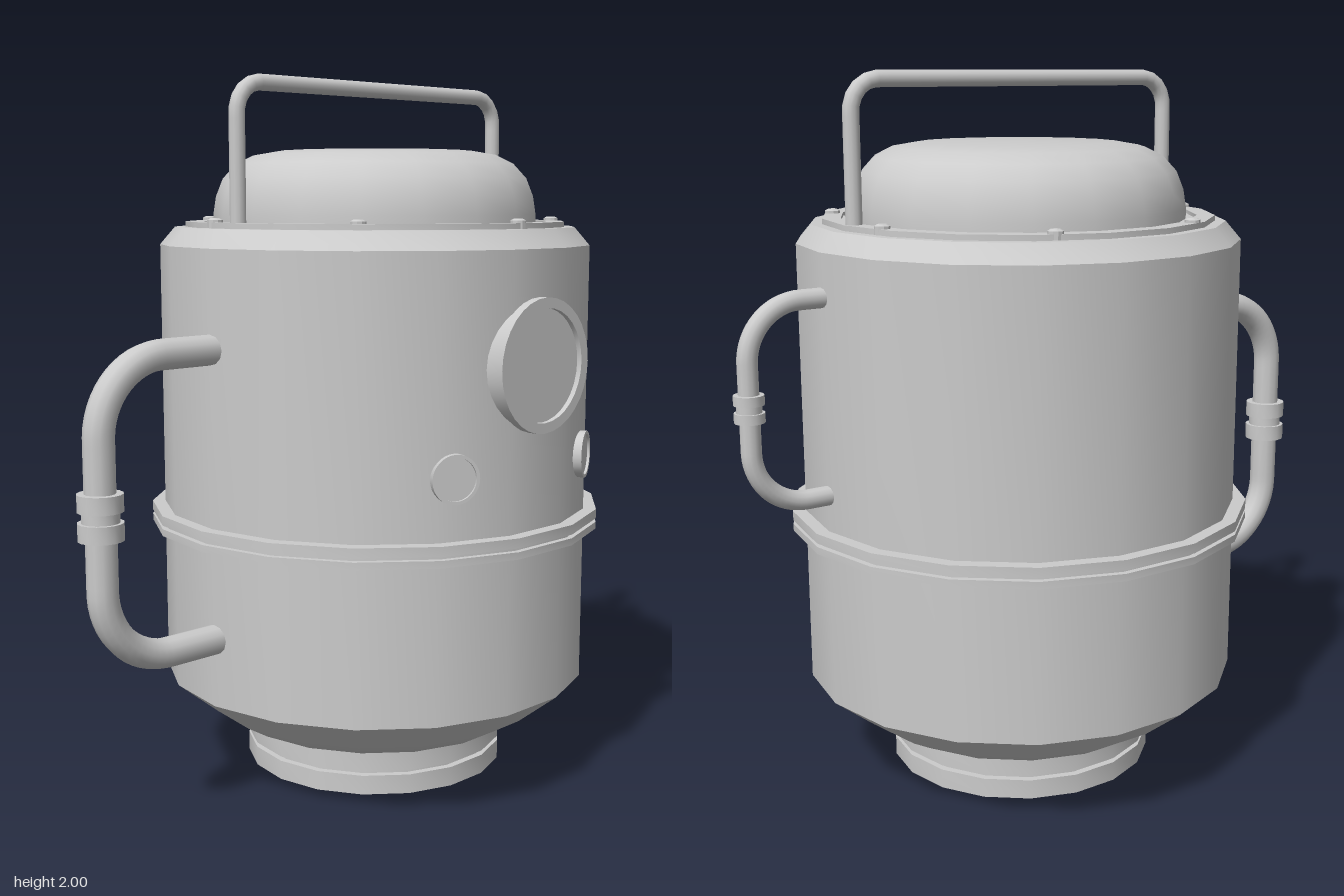
import * as THREE from 'three';
import { toCreasedNormals } from 'three/addons/utils/BufferGeometryUtils.js';

const CX = 0.08; // axis of the tank
const material = new THREE.MeshStandardMaterial({ color: 0xcccccc });

function addMesh(parent, name, geometry, x = 0, y = 0, z = 0) {
  const mesh = new THREE.Mesh(geometry, material);
  mesh.name = name;
  mesh.position.set(x, y, z);
  parent.add(mesh);
  return mesh;
}

// Turned part from [radius, height] pairs, listed bottom to top
function turned(profile, sides = 18) {
  const points = profile.map(([r, y]) => new THREE.Vector2(r, y));
  const geometry = new THREE.LatheGeometry(points, sides);
  geometry.rotateY(Math.PI / 2);
  return toCreasedNormals(geometry, 0.52);
}

// U-shaped pipe through four corners, the two middle ones rounded
function bentPipe(corners, bend, radius) {
  const [a, b, c, d] = corners.map(([x, y]) => new THREE.Vector3(x, y, 0));
  const toward = (p, q, dist) => p.clone().add(q.clone().sub(p).setLength(dist));
  const k = bend * 0.45;
  const b0 = toward(b, a, bend), b1 = toward(b, c, bend);
  const c0 = toward(c, b, bend), c1 = toward(c, d, bend);
  const path = new THREE.CurvePath();
  path.add(new THREE.LineCurve3(a, b0));
  path.add(new THREE.CubicBezierCurve3(b0, toward(b, a, k), toward(b, c, k), b1));
  path.add(new THREE.LineCurve3(b1, c0));
  path.add(new THREE.CubicBezierCurve3(c0, toward(c, b, k), toward(c, d, k), c1));
  path.add(new THREE.LineCurve3(c1, d));
  return new THREE.TubeGeometry(path, 64, radius, 12);
}

// Round fitting with a raised rim, facing outward at an angle around the tank
function dial(parent, name, angle, y, dist, radius, inner, depth) {
  const geometry = turned([
    [0, -0.06], [radius, -0.06], [radius, depth], [inner, depth], [inner, depth * 0.4], [0, depth * 0.4],
  ], 32);
  geometry.rotateX(Math.PI / 2);
  const mesh = addMesh(parent, name, geometry, CX + dist * Math.sin(angle), y, dist * Math.cos(angle));
  mesh.rotation.y = angle;
}

// Two collars with a narrower neck between them
function coupling(parent, name, x, y, radius, half, gap) {
  const neck = radius * 0.83;
  addMesh(parent, name, turned([
    [0, -half], [radius, -half], [radius, -gap], [neck, -gap],
    [neck, gap], [radius, gap], [radius, half], [0, half],
  ], 16), x, y, 0);
}

export function createModel() {
  const model = new THREE.Group();
  model.name = 'tank';

  // Tank shell, from the tapered underside to the bevelled shoulder
  addMesh(model, 'tankBody', turned([
    [0, 0.145], [0.36, 0.145], [0.43, 0.163], [0.5, 0.205], [0.618, 0.3],
    [0.618, 1.545], [0.575, 1.595], [0, 1.595],
  ]), CX);

  // Lid flange and dome
  addMesh(model, 'lidFlange', turned([
    [0.545, 1.58], [0.545, 1.61], [0.495, 1.61], [0.495, 1.6], [0.4, 1.6],
  ]), CX);
  addMesh(model, 'dome', turned([
    [0.465, 1.59], [0.465, 1.63], [0.457, 1.68], [0.437, 1.73], [0.4, 1.77],
    [0.35, 1.795], [0.28, 1.807], [0, 1.81],
  ]), CX);

  // Bolts around the flange
  for (let i = 0; i < 7; i++) {
    const a = 0.025 + (i / 7) * Math.PI * 2;
    addMesh(model, 'flangeBolt', turned([
      [0.021, -0.02], [0.021, 0.007], [0.012, 0.012], [0, 0.012],
    ], 10), CX + 0.52 * Math.sin(a), 1.61, 0.52 * Math.cos(a));
  }

  // Double band around the middle
  addMesh(model, 'middleBand', turned([
    [0.6, 0.74], [0.655, 0.74], [0.655, 0.76], [0.638, 0.76], [0.638, 0.77],
    [0.655, 0.77], [0.655, 0.797], [0.6, 0.797],
  ]), CX);

  // Base flange with an open bore
  addMesh(model, 'baseFlange', turned([
    [0, 0.13], [0.19, 0.13], [0.19, 0.022], [0.38, 0.022], [0.38, 0.077], [0.36, 0.077],
    [0.36, 0.09], [0.38, 0.09], [0.38, 0.148], [0.3, 0.148],
  ]), CX);
  for (let i = 0; i < 4; i++) {
    const a = Math.PI / 4 + 0.08 + i * Math.PI / 2;
    addMesh(model, 'baseBolt', turned([[0, 0], [0.027, 0], [0.027, 0.03], [0, 0.03]], 10),
      CX + 0.267 * Math.sin(a), 0, 0.267 * Math.cos(a));
  }

  // Gauge and the two small ports below it
  dial(model, 'gauge', 0, 1.24, 0.61, 0.18, 0.152, 0.024);
  for (const side of [-1, 1]) {
    dial(model, 'port', side * 0.45, 0.963, 0.617, 0.066, 0.057, 0.012);
  }

  // Carrying handle
  addMesh(model, 'carryHandle', bentPipe([[-0.435, 1.58], [-0.435, 1.978], [0.595, 1.978], [0.595, 1.58]], 0.08, 0.022));

  // Thick pipe on the right side, thin pipe on the left side
  addMesh(model, 'thickPipe', bentPipe([[-0.48, 1.28], [-0.895, 1.28], [-0.895, 0.49], [-0.48, 0.49]], 0.2, 0.041));
  coupling(model, 'thickPipeCoupling', -0.895, 0.886, 0.06, 0.06, 0.014);
  addMesh(model, 'thinPipe', bentPipe([[0.64, 1.428], [0.91, 1.428], [0.91, 0.897], [0.64, 0.897]], 0.15, 0.027));
  coupling(model, 'thinPipeCoupling', 0.91, 1.163, 0.04, 0.036, 0.01);

  return model;
}
